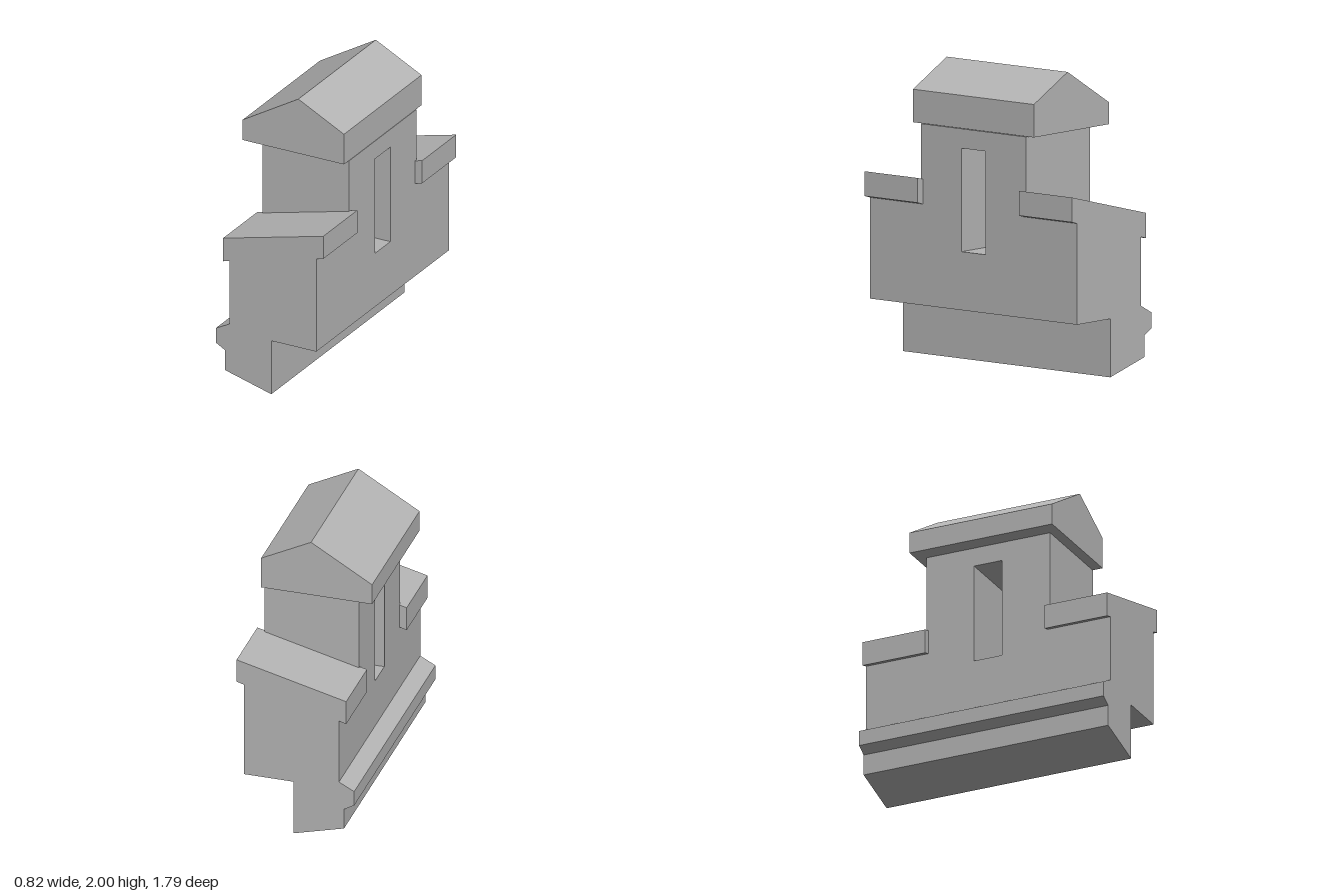
import * as THREE from 'three';

const stone = new THREE.MeshStandardMaterial({ color: 0xb4b4b4 });
stone.name = 'grey stone';

const path = (pts, Type = THREE.Shape) => new Type(pts.map(([x, y]) => new THREE.Vector2(x, y)));

// Extrudes an x-y profile along z from z0 to z1
function profile(name, pts, z0, z1) {
  const geo = new THREE.ExtrudeGeometry(path(pts), { depth: z1 - z0, bevelEnabled: false });
  geo.translate(0, 0, z0);
  const mesh = new THREE.Mesh(geo, stone);
  mesh.name = name;
  return mesh;
}

export function createModel() {
  const model = new THREE.Group();
  model.name = 'gabledWall';
  const half = 0.895;

  // Stepped wall with a tall slot through it, extruded along x
  const wallShape = path([
    [-half, 0.39], [half, 0.39], [half, 0.9], [0.453, 0.9],
    [0.453, 1.6], [-0.453, 1.6], [-0.453, 0.9], [-half, 0.9],
  ]);
  wallShape.holes.push(path([[-0.103, 0.78], [-0.103, 1.47], [0.103, 1.47], [0.103, 0.78]], THREE.Path));
  const wallGeo = new THREE.ExtrudeGeometry(wallShape, { depth: 0.655, bevelEnabled: false });
  wallGeo.rotateY(Math.PI / 2).translate(-0.3, 0, 0);
  const wall = new THREE.Mesh(wallGeo, stone);
  wall.name = 'wall';
  model.add(wall);

  // Foot with a slanted underside and a chamfered ledge
  model.add(profile('foot', [
    [0.015, 0], [0.015, 0.39], [-0.3, 0.39], [-0.3, 0.44], [-0.405, 0.385],
    [-0.405, 0.28], [-0.335, 0.24], [-0.335, 0.095],
  ], -half, half));

  // Sloping shoulders with overhanging edges
  const shoulder = [
    [-0.3, 0.9], [0.355, 0.9], [0.355, 1.065], [0.408, 1.08],
    [0.408, 1.245], [-0.35, 1.055], [-0.35, 0.886],
  ];
  model.add(profile('leftShoulder', shoulder, 0.437, half));
  model.add(profile('rightShoulder', shoulder, -half, -0.437));

  // Gabled roof
  model.add(profile('roof', [
    [-0.412, 1.603], [0.355, 1.603], [0.355, 1.823], [0.01, 2], [-0.412, 1.75],
  ], -0.522, 0.522));

  return model;
}
